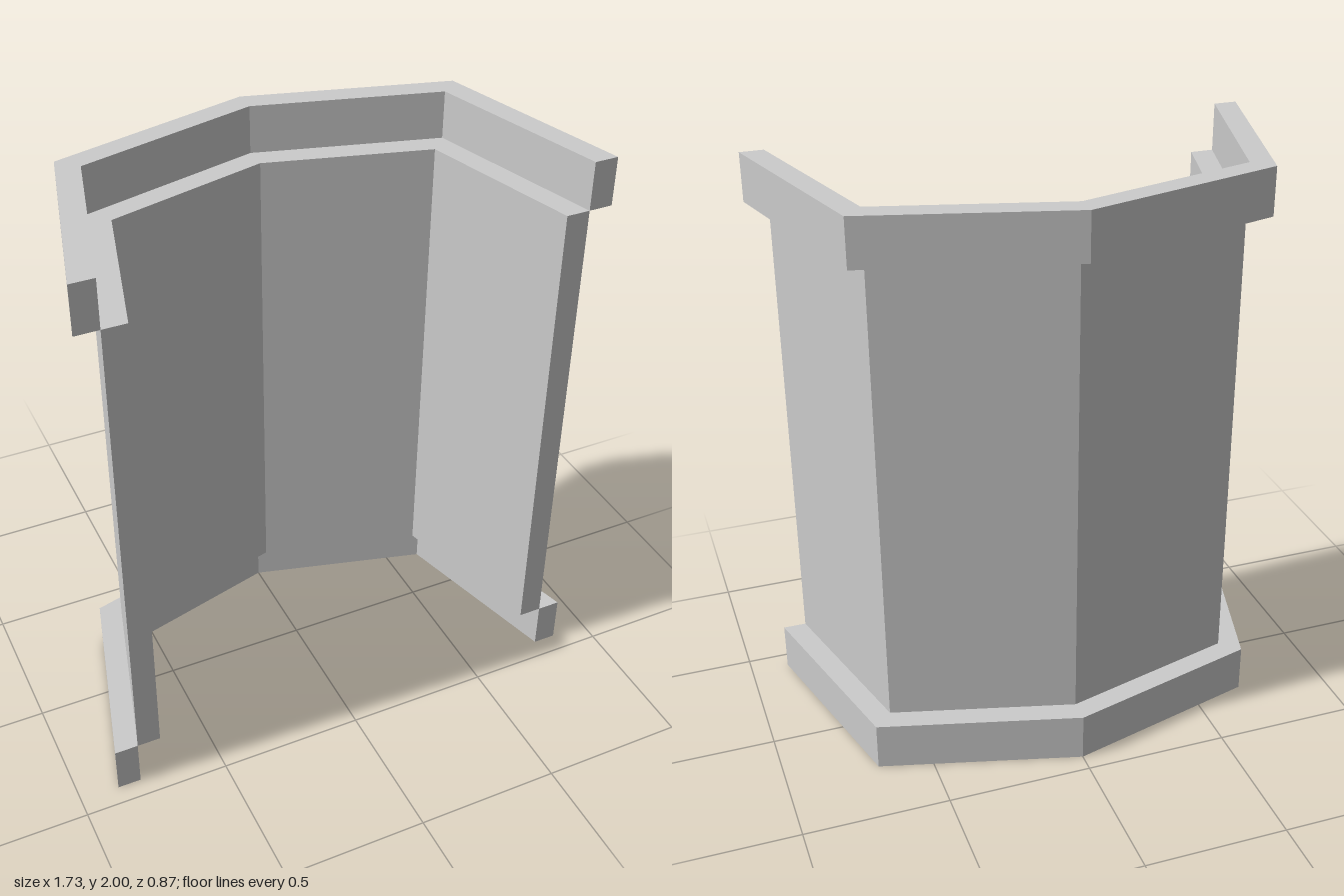
import * as THREE from 'three';

const material = new THREE.MeshStandardMaterial({ color: 0xcccccc, flatShading: true });

// Half plan outlines (x, z) from the open front end to the middle of the back
const INNER = [[0.707, 0.433], [0.558, -0.127], [0, -0.277]];
const MIDDLE = [[0.787, 0.433], [0.62, -0.19], [0, -0.356]];
const OUTER = [[0.867, 0.433], [0.684, -0.252], [0, -0.435]];

// Mirror a half outline into a full run from +x to -x
const mirrored = (half) => [...half, ...half.slice(0, -1).reverse().map(([x, z]) => [-x, z])];

// Upright band between two plan outlines
function band(name, inside, outside, bottom, top) {
  const loop = [...mirrored(outside), ...mirrored(inside).reverse()];
  const shape = new THREE.Shape(loop.map(([x, z]) => new THREE.Vector2(x, -z)));
  const geometry = new THREE.ExtrudeGeometry(shape, { depth: top - bottom, bevelEnabled: false });
  geometry.rotateX(-Math.PI / 2);
  const mesh = new THREE.Mesh(geometry, material);
  mesh.name = name;
  mesh.position.y = bottom;
  return mesh;
}

export function createModel() {
  const model = new THREE.Group();
  model.name = 'angledWall';
  model.add(
    band('wall', INNER, MIDDLE, 0.17, 1.835),
    band('bottomRail', MIDDLE, OUTER, 0, 0.17),
    band('topRail', MIDDLE, OUTER, 1.835, 2),
  );
  return model;
}
